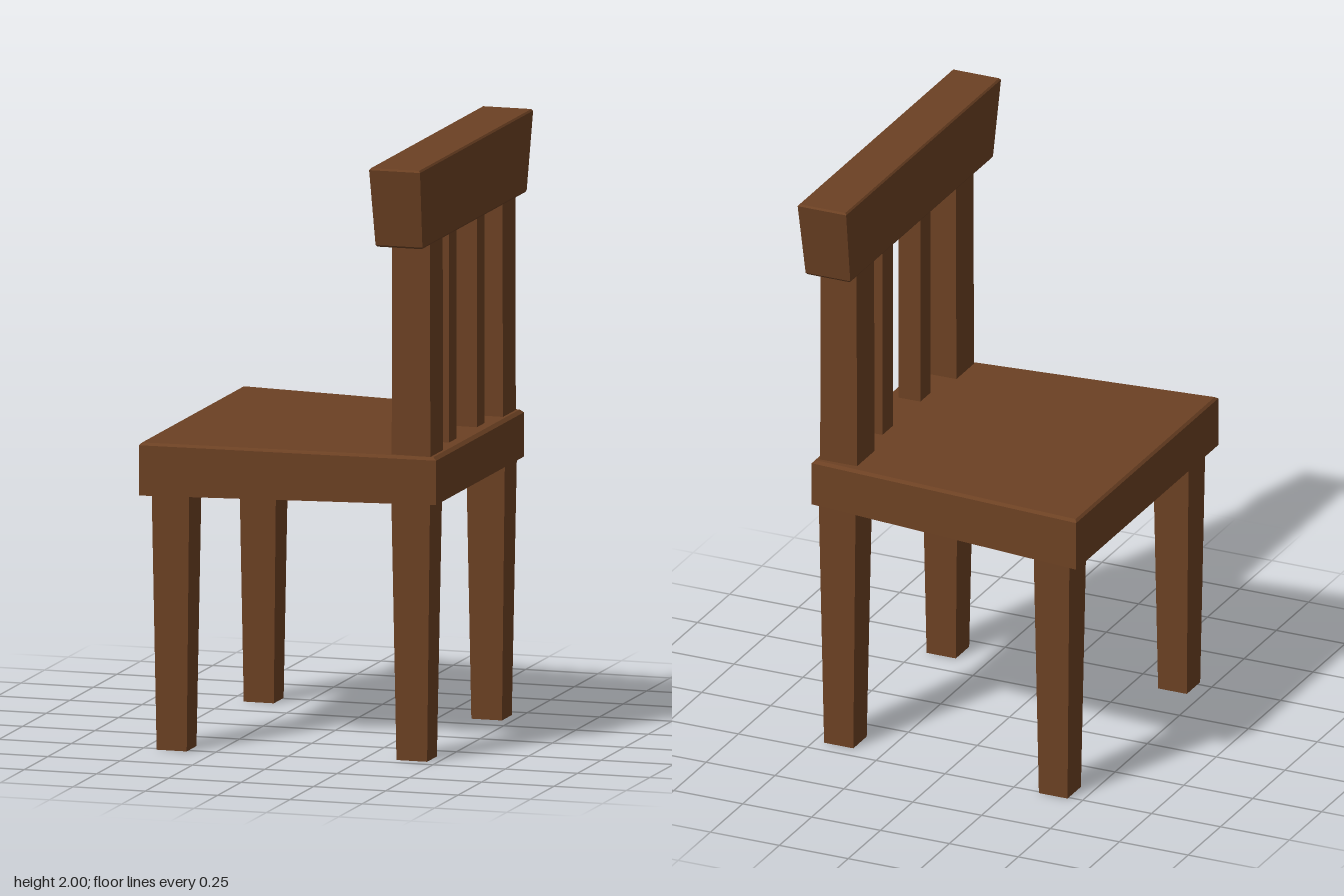
import * as THREE from 'three';

const wood = new THREE.MeshStandardMaterial({ color: 0x6c4123 });
wood.name = 'brown wood';

// Four corners, counter-clockwise from above; z half-width and height may differ at each x end
const ring = (x0, x1, y0, y1, h0, h1, zc = 0) => [
  [x0, y0, zc + h0], [x1, y1, zc + h1], [x1, y1, zc - h1], [x0, y0, zc - h0],
];
const flatRing = (y, x, hx, z, hz) => ring(x - hx, x + hx, y, y, hz, hz, z);

// Closed, flat-faced solid through stacked four-sided rings, bottom to top
function loft(name, rings) {
  const pos = [];
  const quad = (a, b, c, d) => pos.push(...a, ...b, ...c, ...a, ...c, ...d);
  for (let r = 0; r < rings.length - 1; r++) {
    const lo = rings[r], hi = rings[r + 1];
    for (let i = 0; i < 4; i++) {
      const j = (i + 1) % 4;
      quad(lo[i], lo[j], hi[j], hi[i]);
    }
  }
  quad(...[...rings[0]].reverse());
  quad(...rings[rings.length - 1]);
  const geo = new THREE.BufferGeometry();
  geo.setAttribute('position', new THREE.Float32BufferAttribute(pos, 3));
  geo.computeVertexNormals();
  const mesh = new THREE.Mesh(geo, wood);
  mesh.name = name;
  return mesh;
}

export function createModel() {
  const chair = new THREE.Group();
  chair.name = 'chair';

  // Tapered seat, wider at the front (-x), with a small bevel on the top edge
  chair.add(loft('seat', [
    ring(-0.5, 0.5, 0.852, 0.862, 0.551, 0.466),
    ring(-0.5, 0.5, 1.02, 1.01, 0.551, 0.466),
    ring(-0.492, 0.488, 1.028, 1.02, 0.539, 0.458),
  ]));

  for (const [side, s] of [['left', -1], ['right', 1]]) {
    // Legs narrow towards the floor
    const frontZ = 0.005 + s * 0.462, backZ = 0.005 + s * 0.397;
    chair.add(loft(side + 'FrontLeg', [
      flatRing(0, -0.397, 0.052, frontZ, 0.052), flatRing(0.87, -0.397, 0.065, frontZ, 0.065),
    ]));
    chair.add(loft(side + 'BackLeg', [
      flatRing(0, 0.412, 0.053, backZ, 0.052), flatRing(0.88, 0.412, 0.067, backZ, 0.064),
    ]));

    // Back posts and the thinner slats between them
    const postZ = 0.006 + s * 0.385, slatZ = 0.003 + s * 0.147;
    chair.add(loft(side + 'BackPost', [
      flatRing(1, 0.411, 0.067, postZ, 0.068), flatRing(1.75, 0.411, 0.065, postZ, 0.068),
    ]));
    chair.add(loft(side + 'BackSlat', [
      flatRing(1, 0.415, 0.04, slatZ, 0.04), flatRing(1.75, 0.415, 0.04, slatZ, 0.04),
    ]));
  }

  // Flared top rail with softened edges
  chair.add(loft('topRail', [
    flatRing(1.73, 0.4, 0.077, 0, 0.548),
    flatRing(1.736, 0.4, 0.081, 0, 0.553),
    flatRing(1.994, 0.4, 0.088, 0, 0.6),
    flatRing(2, 0.4, 0.083, 0, 0.595),
  ]));
  return chair;
}
